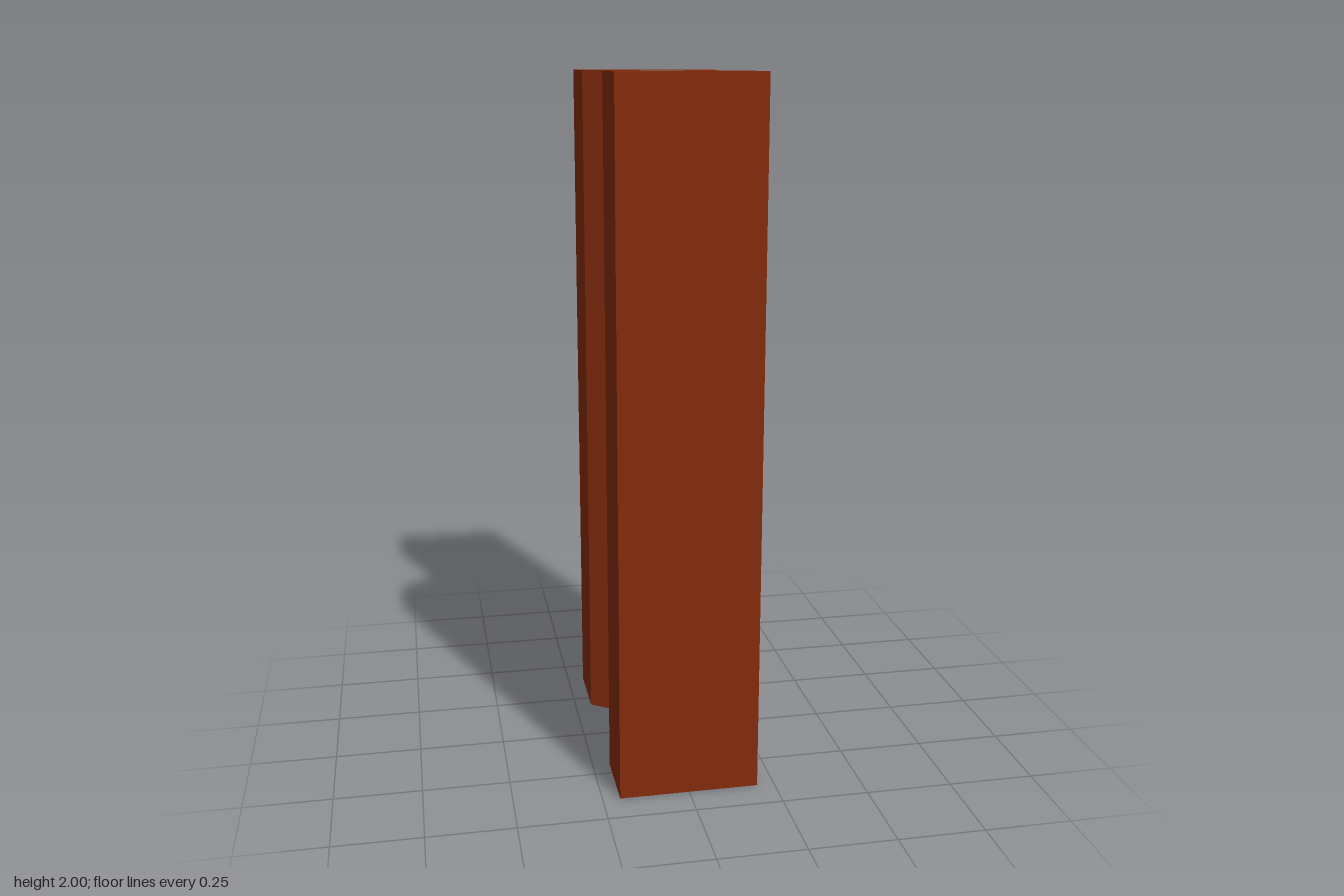
import * as THREE from 'three';

export function createModel() {
  const model = new THREE.Group();
  const red = new THREE.MeshStandardMaterial({ name: 'rust red', color: 0x842c0e });
  const grey = new THREE.MeshStandardMaterial({ name: 'mid grey', color: 0x707070 });
  const dark = new THREE.MeshStandardMaterial({ name: 'dark grey', color: 0x4e4e4e });

  const add = (name, geometry, material, parent = model) => {
    const mesh = new THREE.Mesh(geometry, material);
    mesh.name = name;
    parent.add(mesh);
    return mesh;
  };
  const shapeOf = (pts) => new THREE.Shape(pts.map(([x, y]) => new THREE.Vector2(x, y)));
  const extrude = (shape, depth) => new THREE.ExtrudeGeometry(shape, { depth, bevelEnabled: false });
  // Plan outline given as (x, z), raised from y0 to y1
  const prism = (pts, y0, y1) =>
    extrude(shapeOf(pts.map(([x, z]) => [x, -z])), y1 - y0).rotateX(-Math.PI / 2).translate(0, y0, 0);

  // Front and back pillars, chamfered towards the core
  const pillar = [[-0.2, 0.4], [0.2, 0.4], [0.2, 0.2], [0.06, 0.1], [-0.06, 0.1], [-0.2, 0.2]];
  add('frontPillar', prism(pillar, 0, 2), red);
  add('backPillar', prism(pillar, 0, 2), red).rotation.y = Math.PI;

  // Core slab forming the floor of both slots
  const floor = 0.03, face = 0.06;
  add('core', new THREE.BoxGeometry(floor * 2, 2, 0.2).translate(0, 1, 0), grey);

  // Slotted cover, bands and inlays, repeated on both sides
  for (const side of [1, -1]) {
    const half = new THREE.Group();
    half.name = side > 0 ? 'leftSide' : 'rightSide';
    if (side < 0) half.rotation.y = Math.PI;
    model.add(half);

    const cover = shapeOf([[-0.1, 0], [0.1, 0], [0.1, 2], [-0.1, 2]]);
    cover.holes.push(shapeOf([[-0.057, 0.33], [-0.057, 1.67], [0.057, 1.67], [0.057, 0.33]]));
    add('slottedCover', extrude(cover, face - floor).rotateY(Math.PI / 2).translate(floor, 0, 0), grey, half);

    for (const y of [0.195, 1.72]) {
      add('clampBand', prism([[face, 0.1], [0.11, 0.072], [0.11, -0.072], [face, -0.1]], y, y + 0.09), dark, half);
    }

    // Tapered inlays pointing at each other along the slot
    const lower = [[-0.056, 0.331], [0.056, 0.331], [0.056, 0.89], [0.036, 0.925], [0.034, 0.95],
      [-0.034, 0.95], [-0.036, 0.925], [-0.056, 0.89]];
    const upper = lower.map(([z, y]) => [z, 2 - y]).reverse();
    // The upper inlay tip stops a little short of the lower one's mirror
    upper.forEach((p) => { if (p[1] < 1.2) p[1] += 0.02; });
    for (const [name, pts] of [['lowerInlay', lower], ['upperInlay', upper]]) {
      add(name, extrude(shapeOf(pts), 0.004).rotateY(Math.PI / 2).translate(floor, 0, 0), dark, half);
    }
  }
  return model;
}
